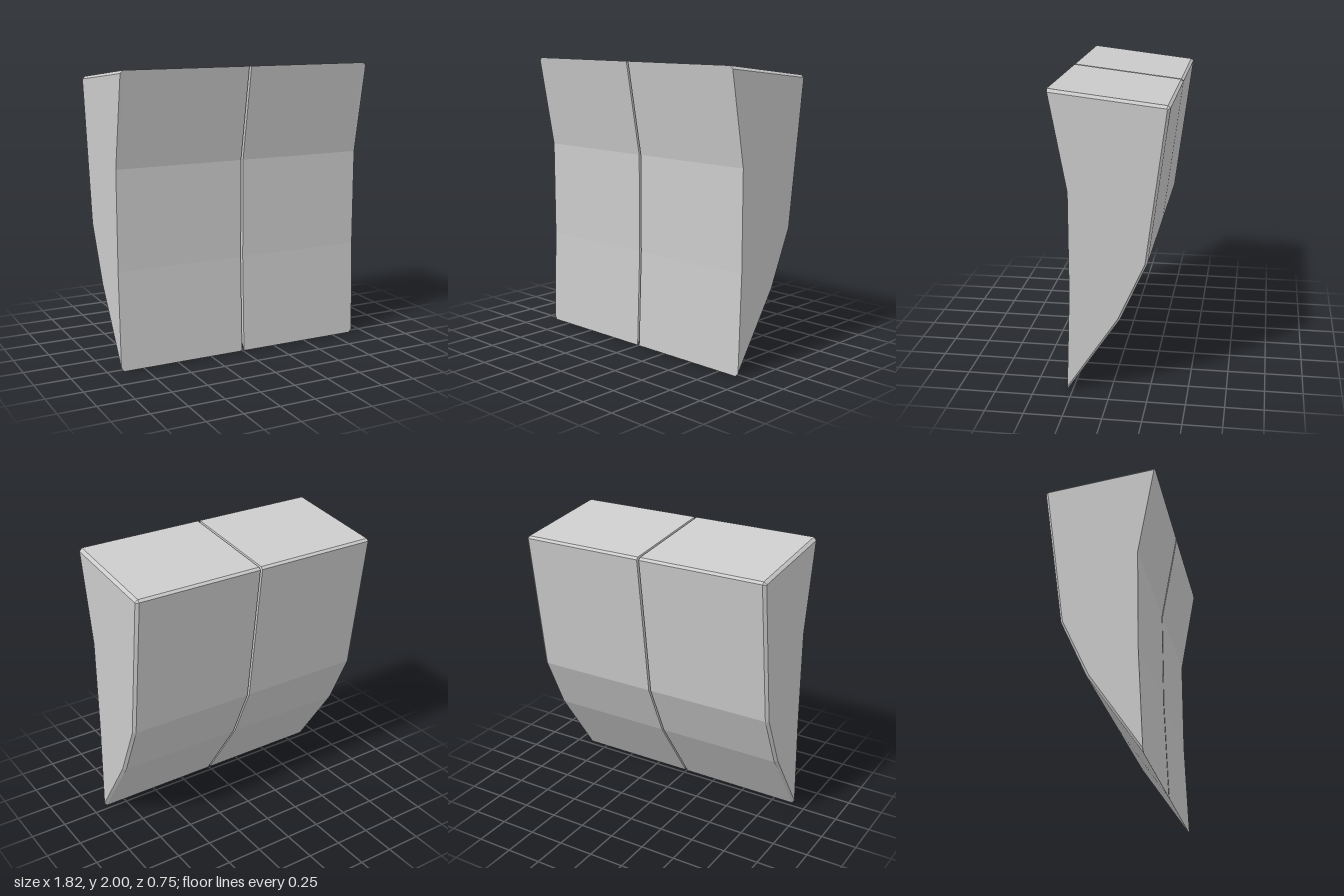
import * as THREE from 'three';

// Side profiles as [z, y]: up the front, over the top, down the back.
const full = [[0.285, 0], [0.26, 0.68], [0.26, 1.36], [0.377, 2],
  [-0.355, 1.915], [-0.372, 1.9], [-0.24, 0.91], [-0.065, 0.52]];
// Outer end: bevelled on the top and back only.
const outer = [[0.284, 0.025], [0.26, 0.68], [0.26, 1.36], [0.374, 1.98],
  [-0.35, 1.898], [-0.354, 1.893], [-0.225, 0.91], [-0.05, 0.525]];
// Inner end: inset all round to form the centre groove.
const inner = [[0.265, 0.065], [0.23, 0.68], [0.23, 1.36], [0.34, 1.962],
  [-0.325, 1.885], [-0.338, 1.87], [-0.208, 0.92], [-0.035, 0.535]];

const sections = [[0, inner], [0.008, full], [0.892, full], [0.912, outer]];

// Lofts one half through its sections; side is +1 (left) or -1 (right).
function halfGeometry(side) {
  const pos = [];
  const tri = (a, b, c) => {
    for (const p of side > 0 ? [a, b, c] : [a, c, b]) pos.push(side * p[0], p[1], p[2]);
  };
  const rings = sections.map(([x, pts]) => pts.map(([z, y]) => [x, y, z]));
  const n = full.length;

  for (let s = 0; s < rings.length - 1; s++) {
    for (let i = 0; i < n; i++) {
      const j = (i + 1) % n, a = rings[s], b = rings[s + 1];
      tri(a[i], b[i], b[j]);
      tri(a[i], b[j], a[j]);
    }
  }

  // End caps
  const cap = (ring, outward) => {
    const flat = ring.map(([, y, z]) => new THREE.Vector2(-z, y));
    for (const [i, j, k] of THREE.ShapeUtils.triangulateShape(flat, [])) {
      const ccw = THREE.ShapeUtils.area([flat[i], flat[j], flat[k]]) > 0;
      if (ccw === outward) tri(ring[i], ring[j], ring[k]);
      else tri(ring[i], ring[k], ring[j]);
    }
  };
  cap(rings[0], false);
  cap(rings[rings.length - 1], true);

  const geometry = new THREE.BufferGeometry();
  geometry.setAttribute('position', new THREE.Float32BufferAttribute(pos, 3));
  geometry.computeVertexNormals();
  return geometry;
}

export function createModel() {
  const group = new THREE.Group();
  group.name = 'curvedBlock';
  const material = new THREE.MeshStandardMaterial({ color: 0xcccccc, flatShading: true });
  for (const [name, side] of [['leftHalf', 1], ['rightHalf', -1]]) {
    const mesh = new THREE.Mesh(halfGeometry(side), material);
    mesh.name = name;
    group.add(mesh);
  }
  return group;
}
